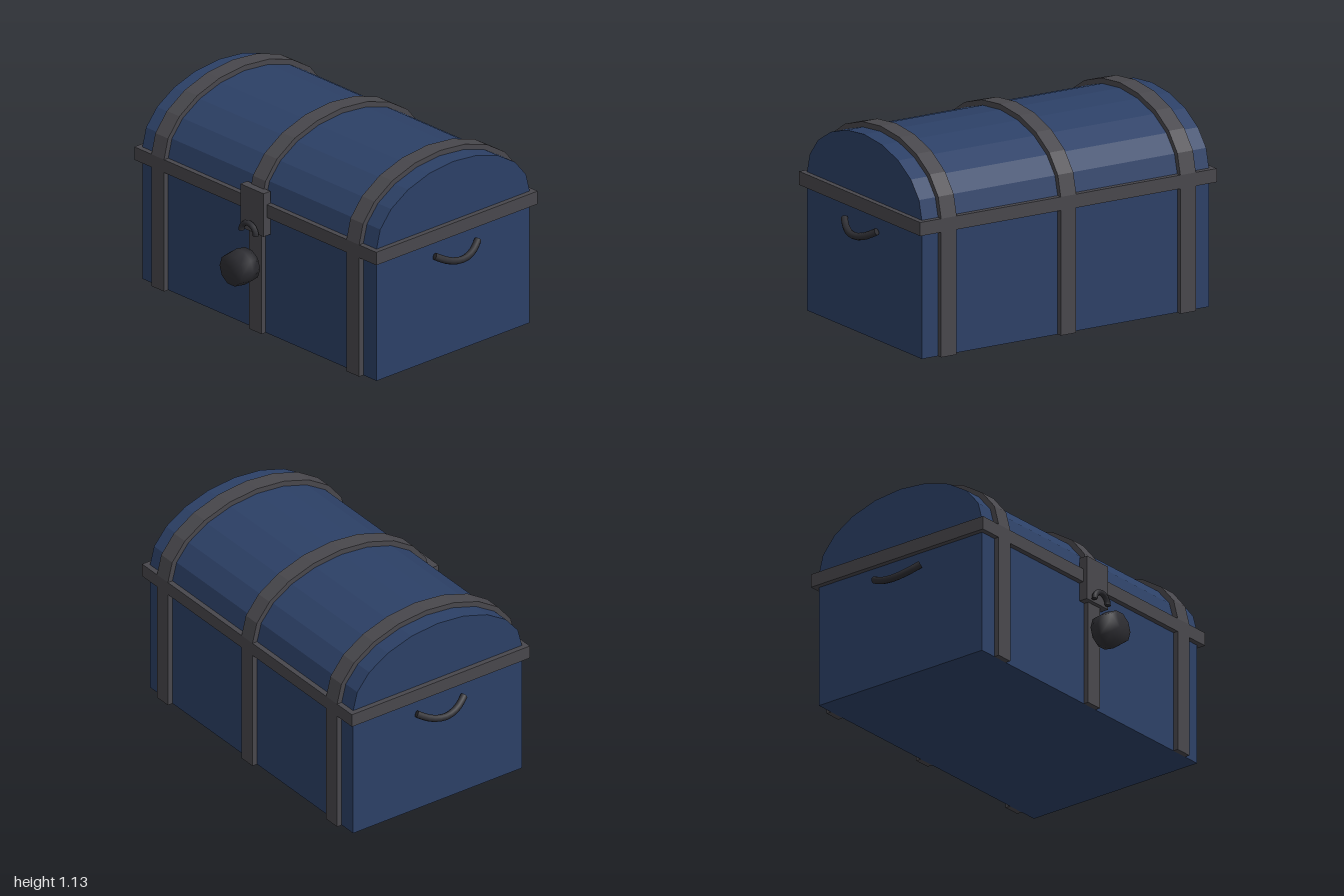
import * as THREE from 'three';

const blue = new THREE.MeshStandardMaterial({ color: 0x2c4066, flatShading: true });
const iron = new THREE.MeshStandardMaterial({ color: 0x48474c, flatShading: true });
const darkIron = new THREE.MeshStandardMaterial({ color: 0x2d2d32 });

const SEAM = 0.765;     // height where the lid's arch springs
const CENTER_Z = -0.085; // middle of the box's depth

function add(parent, name, geometry, material, x = 0, y = 0, z = 0) {
  const mesh = new THREE.Mesh(geometry, material);
  mesh.name = name;
  mesh.position.set(x, y, z);
  parent.add(mesh);
  return mesh;
}

// Half ellipse in ten straight segments
function arch(a, b) {
  return Array.from({ length: 11 }, (_, i) => {
    const t = (i / 10) * Math.PI;
    return new THREE.Vector2(a * Math.cos(t), SEAM + b * Math.sin(t));
  });
}

// Side profile extruded across the chest's width, centred on x = 0
function acrossWidth(points, width) {
  const g = new THREE.ExtrudeGeometry(new THREE.Shape(points), { depth: width, bevelEnabled: false });
  g.translate(0, 0, -width / 2);
  g.rotateY(Math.PI / 2);
  return g;
}

export function createModel() {
  const chest = new THREE.Group();
  chest.name = 'chest';

  // Wooden shell
  const shell = new THREE.Group();
  shell.name = 'shell';
  shell.position.z = CENTER_Z;
  chest.add(shell);
  add(shell, 'body', new THREE.BoxGeometry(1.82, 0.72, 1.11), blue, 0, 0.36);
  add(shell, 'lid', acrossWidth(arch(0.555, 0.34), 1.82), blue);

  // Iron rim around the seam
  add(shell, 'rim', new THREE.BoxGeometry(1.88, 0.075, 1.17), iron, 0, 0.7275);

  // Straps: up the front, over the lid, down the back
  const strap = [
    new THREE.Vector2(0.585, 0), ...arch(0.585, 0.37), new THREE.Vector2(-0.585, 0),
    new THREE.Vector2(-0.555, 0), ...arch(0.555, 0.34).reverse(), new THREE.Vector2(0.555, 0),
  ];
  for (const x of [-0.758, 0, 0.758]) add(shell, 'strap', acrossWidth(strap, 0.098), iron, x);

  // Carrying handles, hanging outwards on both ends
  for (const side of [-1, 1]) {
    const points = [];
    for (let i = -3; i <= 3; i++) {
      const drop = 1 - (i / 3) ** 2;
      points.push(new THREE.Vector3(side * (0.935 + 0.044 * drop), 0.61 - 0.052 * drop, i * 0.052));
    }
    const curve = new THREE.CatmullRomCurve3(points);
    const handle = new THREE.Group();
    handle.name = side > 0 ? 'leftHandle' : 'rightHandle';
    add(handle, 'grip', new THREE.TubeGeometry(curve, 10, 0.02, 8), darkIron);
    // End caps
    for (const t of [0, 1]) {
      const cap = add(handle, 'gripEnd', new THREE.CircleGeometry(0.02, 8), darkIron);
      const p = curve.getPointAt(t);
      cap.position.copy(p);
      cap.lookAt(p.clone().addScaledVector(curve.getTangentAt(t), t ? 1 : -1));
    }
    shell.add(handle);
  }

  // Hasp plate
  add(chest, 'haspPlate', new THREE.BoxGeometry(0.18, 0.25, 0.05), iron, 0, 0.71, 0.499);

  // Padlock: shackle and barrel-shaped body
  const padlock = new THREE.Group();
  padlock.name = 'padlock';
  chest.add(padlock);
  const shackle = new THREE.TorusGeometry(0.056, 0.016, 8, 8, Math.PI);
  add(padlock, 'shackle', shackle, darkIron, 0, 0.588, 0.549);
  for (const x of [-0.056, 0.056]) {
    const cap = add(padlock, 'shackleEnd', new THREE.CircleGeometry(0.016, 8), darkIron, x, 0.588, 0.549);
    cap.rotation.x = Math.PI / 2;
  }
  const profile = [[0, 0.55], [0.092, 0.55], [0.1, 0.607], [0.09, 0.675], [0, 0.675]]
    .map(([r, h]) => new THREE.Vector2(r, h));
  const barrel = new THREE.LatheGeometry(profile, 10, Math.PI / 2);
  barrel.rotateX(Math.PI / 2);
  add(padlock, 'lockBody', barrel, darkIron, 0, 0.408, 0);

  return chest;
}
